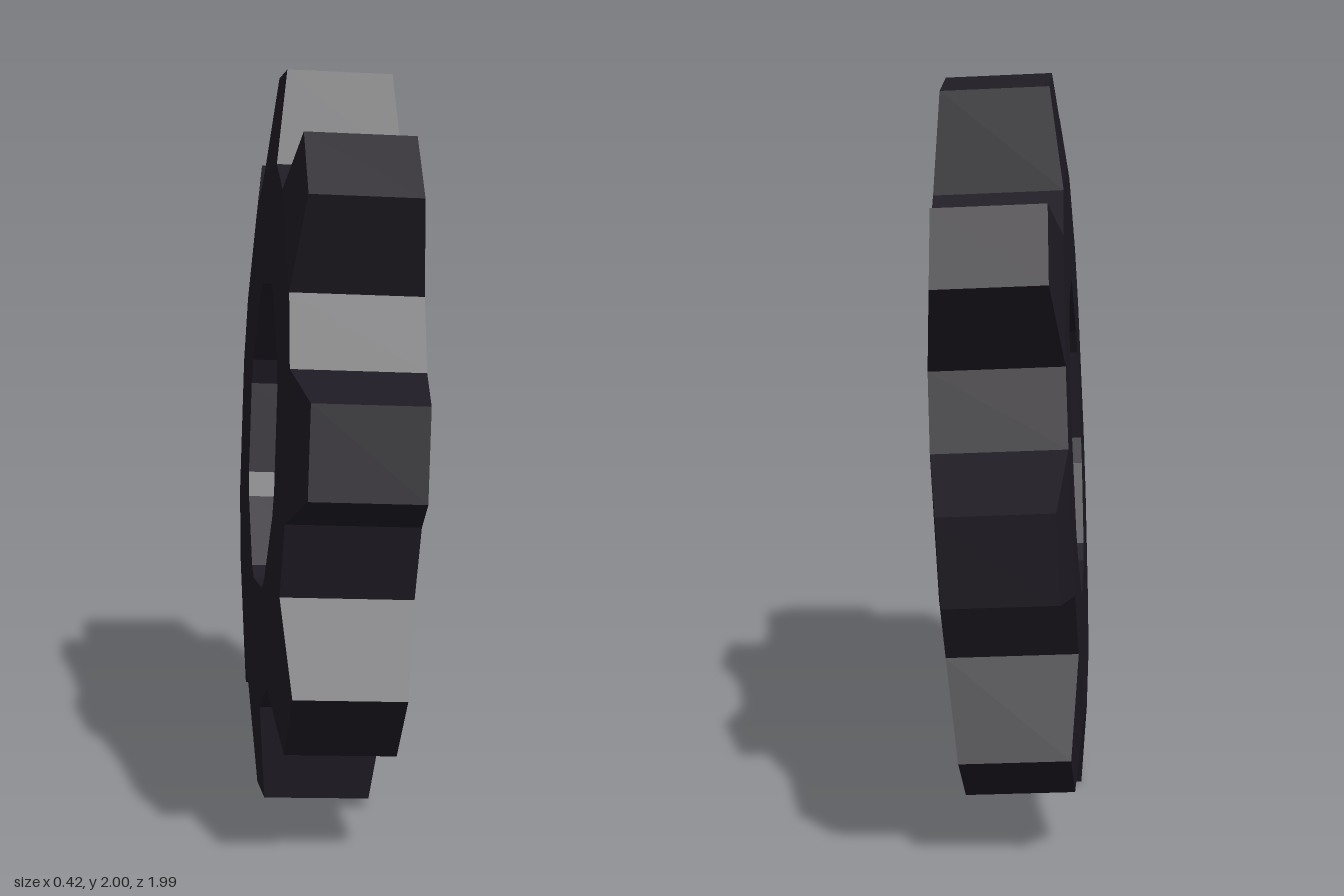
import * as THREE from 'three';

const TEETH = 8;
const STEP = (Math.PI * 2) / TEETH;
const START = THREE.MathUtils.degToRad(6.5); // centre line of the first tooth
// Half of one tooth: radius, half angle in degrees, half thickness
const HOLE = [0.432, 17.5, 0.17];
const ROOT = [0.752, 14.7, 0.17];
const TIP = [0.994, 6.7, 0.143];

// Corner on tooth i; edge is -1 or 1 along the rim, face is -1 or 1 along the axle
function corner([radius, degrees, half], i, edge, face) {
  const a = START + i * STEP + edge * THREE.MathUtils.degToRad(degrees);
  return [face * half, radius * Math.cos(a), -radius * Math.sin(a)];
}

function gearGeometry() {
  const positions = [];
  const quad = (a, b, c, d) => positions.push(...a, ...b, ...c, ...a, ...c, ...d);
  // Each point is [ring, tooth, edge]
  const flat = (...points) => {
    for (const face of [1, -1]) {
      const corners = points.map((p) => corner(...p, face));
      quad(...(face > 0 ? corners : corners.reverse()));
    }
  };
  const wall = (p, q) =>
    quad(corner(...p, 1), corner(...q, 1), corner(...q, -1), corner(...p, -1));

  for (let i = 0; i < TEETH; i++) {
    const [h1, h2, h3] = [[HOLE, i, -1], [HOLE, i, 1], [HOLE, i + 1, -1]];
    const [r1, r2, r3] = [[ROOT, i, -1], [ROOT, i, 1], [ROOT, i + 1, -1]];
    const [t1, t2] = [[TIP, i, -1], [TIP, i, 1]];
    // Side faces: ring under the tooth, ring under the gap, tapered tooth
    flat(h1, h2, r2, r1);
    flat(h2, h3, r3, r2);
    flat(r1, r2, t2, t1);
    // Outer rim
    wall(r1, t1);
    wall(t1, t2);
    wall(t2, r2);
    wall(r2, r3);
    // Bore
    wall(h2, h1);
    wall(h3, h2);
  }

  const geometry = new THREE.BufferGeometry();
  geometry.setAttribute('position', new THREE.Float32BufferAttribute(positions, 3));
  geometry.computeVertexNormals();
  return geometry;
}

export function createModel() {
  const group = new THREE.Group();
  group.name = 'gear';
  const material = new THREE.MeshStandardMaterial({ color: 0x1f1b24, flatShading: true });
  const gear = new THREE.Mesh(gearGeometry(), material);
  gear.name = 'gearWheel';
  // Slight lean of the wheel
  gear.rotation.set(0, -0.023, -0.045);
  gear.position.y = 1;
  group.add(gear);
  return group;
}
